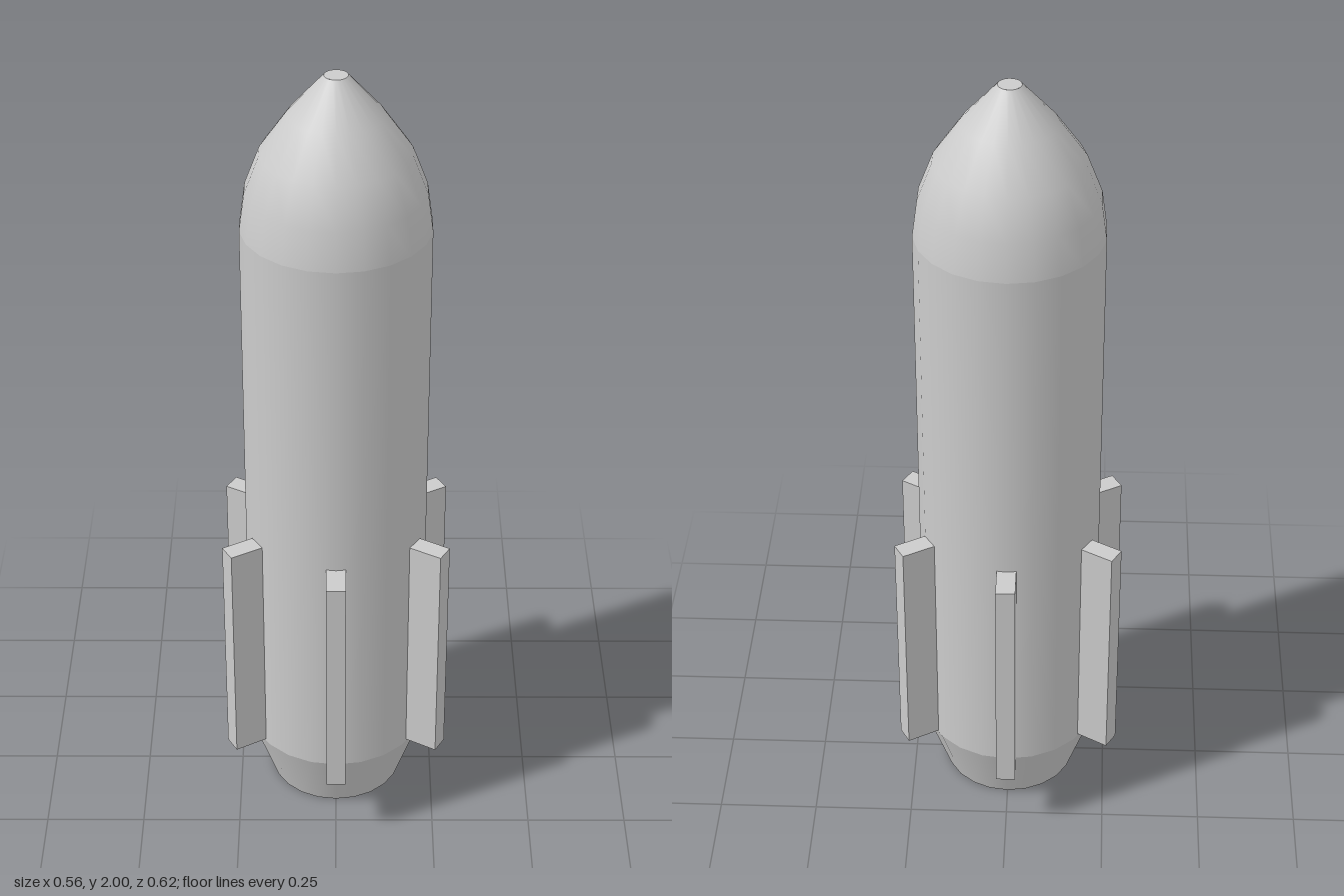
import * as THREE from 'three';

const SIDES = 22;
const RADIUS = 0.227;
const TAIL_TOP = 0.17;
const NOSE_BASE = 1.62;

export function createModel() {
  const model = new THREE.Group();
  model.name = 'rocket';
  const material = new THREE.MeshStandardMaterial({ color: 0xcccccc });

  const add = (name, geometry, y = 0, parent = model) => {
    const mesh = new THREE.Mesh(geometry, material);
    mesh.name = name;
    mesh.position.y = y;
    parent.add(mesh);
    return mesh;
  };

  // Tapered tail, closed underneath
  add('tail', new THREE.CylinderGeometry(RADIUS, 0.168, TAIL_TOP, SIDES), TAIL_TOP / 2);

  // Straight body tube
  const bodyHeight = NOSE_BASE - TAIL_TOP;
  add('body', new THREE.CylinderGeometry(RADIUS, RADIUS, bodyHeight, SIDES, 1, true), TAIL_TOP + bodyHeight / 2);

  // Curved nose cone with a small flat tip
  const profile = [[RADIUS, NOSE_BASE], [0.214, 1.715], [0.178, 1.81], [0.112, 1.905], [0.028, 2]];
  add('noseCone', new THREE.LatheGeometry(profile.map(([r, y]) => new THREE.Vector2(r, y)), SIDES));
  const tip = new THREE.CircleGeometry(0.028, SIDES).rotateX(-Math.PI / 2);
  add('noseTip', tip, 2);

  // Six radial fins, rooted just inside the body
  const fins = new THREE.Group();
  fins.name = 'fins';
  model.add(fins);
  const inner = 0.19, outer = 0.31, bottom = 0.175, top = 0.79;
  const finGeometry = new THREE.BoxGeometry(0.048, top - bottom, outer - inner);
  finGeometry.translate(0, 0, (inner + outer) / 2);
  for (let i = 0; i < 6; i++) {
    const fin = add('fin' + (i + 1), finGeometry, (top + bottom) / 2, fins);
    fin.rotation.y = (i * Math.PI) / 3;
  }

  return model;
}
